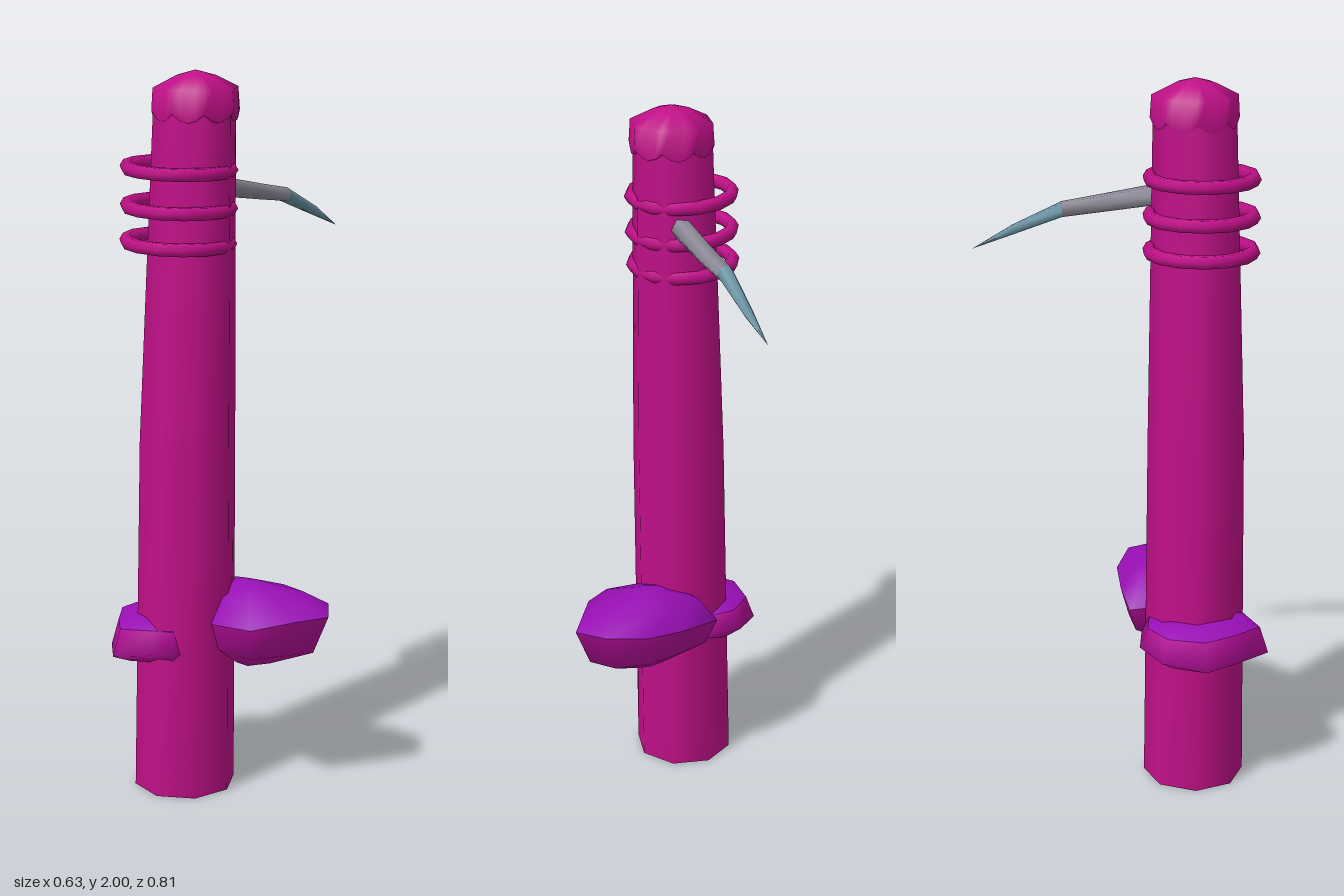
import * as THREE from 'three';

const mat = (name, color) => {
  const m = new THREE.MeshStandardMaterial({ color });
  m.name = name;
  return m;
};

// Skin a surface over closed rings of points, smooth shaded
function loft(rings) {
  const n = rings[0].length, index = [];
  for (let j = 0; j < rings.length - 1; j++) {
    for (let i = 0; i < n; i++) {
      const k = (i + 1) % n;
      const a = j * n + i, b = j * n + k, c = a + n, d = b + n;
      index.push(a, c, b, b, c, d);
    }
  }
  const g = new THREE.BufferGeometry();
  g.setAttribute('position', new THREE.Float32BufferAttribute(rings.flat(2), 3));
  g.setIndex(index);
  g.computeVertexNormals();
  return g;
}

const angles = n => Array.from({ length: n }, (_, i) => (i / n) * Math.PI * 2);

// Horizontal ring and ring facing along z
const flatRing = (x, y, z, r, n = 8) =>
  angles(n).map(a => [x + r * Math.cos(a), y, z + r * Math.sin(a)]);
const uprightRing = (x, y, z, rx, ry, n = 6) =>
  angles(n).map(a => [x + rx * Math.cos(a), y + ry * Math.sin(a), z]);

export function createModel() {
  const group = new THREE.Group();
  const magenta = mat('magenta bark', 0xc01088);
  const purple = mat('purple shelf top', 0x980fb4);
  const pink = mat('violet shelf underside', 0xb80f9c);
  const grey = mat('grey thorn', 0x8d8997);
  const teal = mat('teal thorn tip', 0x6a93a3);

  const add = (name, geometry, material) => {
    const mesh = new THREE.Mesh(geometry, material);
    mesh.name = name;
    group.add(mesh);
    return mesh;
  };

  // Leaning, tapered stem with a closed base
  add('stem', loft([
    flatRing(-0.1, 0, 0.205, 0.142),
    flatRing(-0.083, 1, 0.203, 0.133),
    flatRing(-0.06, 1.92, 0.192, 0.111),
  ]), magenta);
  add('stemBase', loft([
    flatRing(-0.1, 0, 0.205, 0),
    flatRing(-0.1, 0, 0.205, 0.142),
  ]), magenta);

  // Faceted cap with a scalloped lower edge
  const capRing = (y, r, wave) => angles(32).map(a => {
    const step = Math.PI / 4, off = ((a + step / 2) % step) - step / 2;
    const rr = r * Math.cos(step / 2) / Math.cos(Math.abs(off) - step / 2);
    return [-0.057 + rr * Math.cos(a),
      y - wave * Math.abs(Math.sin(a * 4)), 0.192 + rr * Math.sin(a)];
  });
  add('cap', loft([
    capRing(1.89, 0.108, 0.022),
    capRing(1.895, 0.119, 0.025),
    capRing(1.955, 0.115, 0),
    capRing(1.985, 0.055, 0),
    capRing(2.0, 0, 0),
  ]), magenta);

  // Three loose hoops near the top
  [[-0.1, 1.742], [-0.101, 1.64], [-0.104, 1.545]].forEach(([x, y], i) => {
    const hoop = add('hoop' + (i + 1), new THREE.TorusGeometry(0.14, 0.019, 6, 14), magenta);
    hoop.position.set(x, y, 0.21);
    hoop.rotation.set(Math.PI / 2, -0.03, 0);
  });

  // Curved thorn pointing backward
  const joint = uprightRing(0, 1.636, -0.16, 0.026, 0.022);
  add('thornBase', loft([
    uprightRing(-0.03, 1.683, 0.1, 0.032, 0.03),
    uprightRing(-0.01, 1.655, -0.05, 0.03, 0.025),
    joint,
  ]), grey);
  add('thornTip', loft([
    joint,
    uprightRing(0.02, 1.575, -0.295, 0.016, 0.014),
    uprightRing(0.031, 1.52, -0.405, 0, 0),
  ]), teal);

  // Bracket shelves: levels are [scale, y], a null y follows the rim height
  function shelf(name, centre, rim, lower, upper) {
    const ring = ([s, y]) => rim.map(([x, h, z]) => [
      centre[0] + (x - centre[0]) * s, y === null ? h : y, centre[1] + (z - centre[1]) * s]);
    add(name + 'Underside', loft(lower.map(ring)), pink);
    add(name + 'Top', loft(upper.map(ring)), purple);
  }

  shelf('leftShelf', [0.06, 0.13], [
    [-0.1, 0.5, 0.02], [0.03, 0.51, 0.0], [0.15, 0.525, -0.008], [0.265, 0.54, 0.03],
    [0.317, 0.535, 0.12], [0.25, 0.53, 0.2], [0.175, 0.52, 0.292], [0.04, 0.505, 0.265],
    [-0.06, 0.5, 0.2],
  ],
  [[0, 0.362], [0.3, 0.37], [0.82, 0.425], [1, null]],
  [[1, null], [0.7, 0.572], [0.2, 0.598], [0, 0.6]]);

  shelf('rightShelf', [-0.14, 0.22], [
    [-0.318, 0.405, 0.225], [-0.288, 0.42, 0.105], [-0.2, 0.43, 0.046], [-0.09, 0.43, 0.055],
    [-0.02, 0.42, 0.2], [-0.04, 0.42, 0.345], [-0.1, 0.42, 0.365], [-0.2, 0.41, 0.405],
    [-0.265, 0.41, 0.32],
  ],
  [[0, 0.378], [0.7, 0.385], [1, null], [0.87, 0.485]],
  [[0.87, 0.485], [0.6, 0.508], [0, 0.515]]);

  return group;
}
